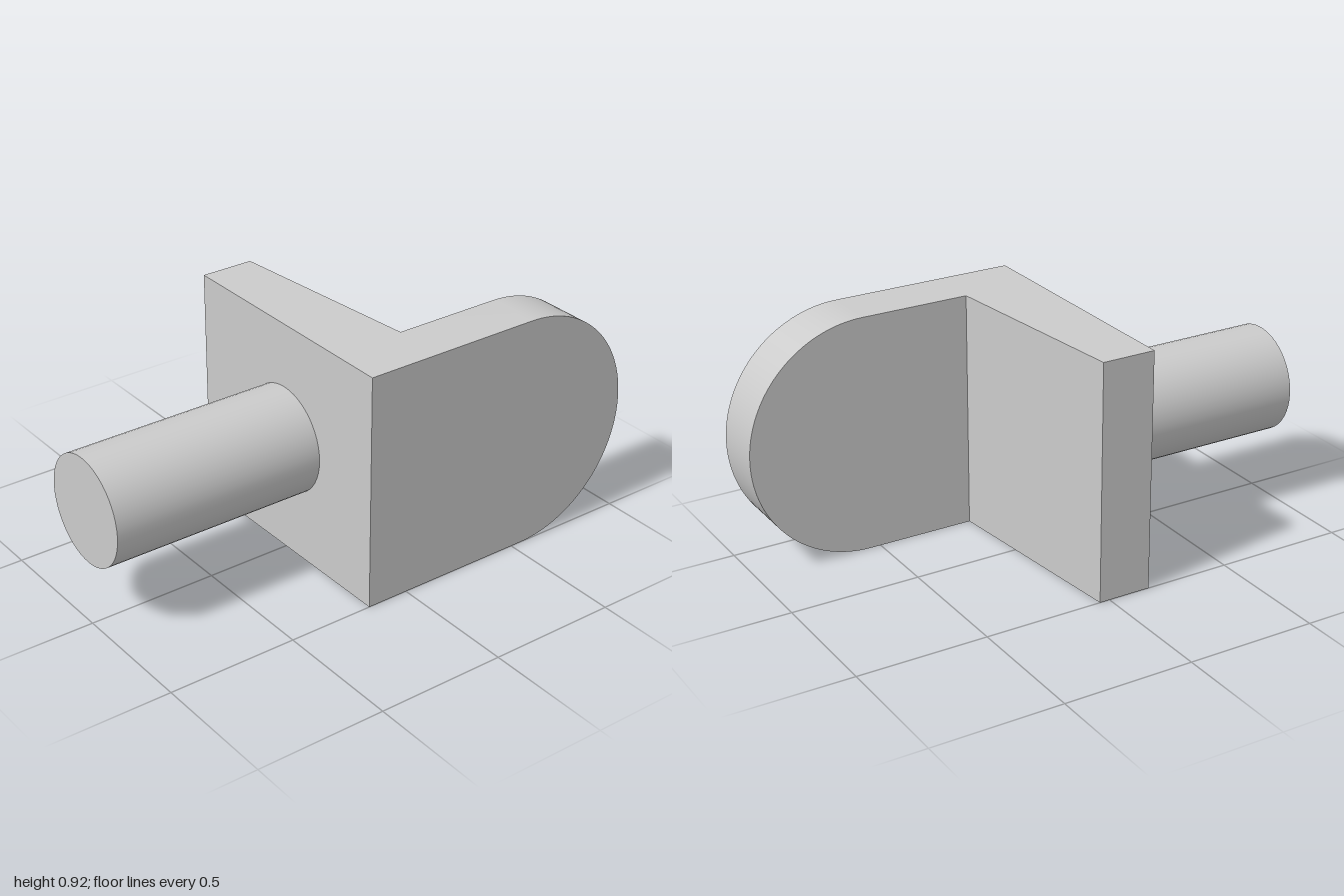
import * as THREE from 'three';
import { toCreasedNormals } from 'three/addons/utils/BufferGeometryUtils.js';

const H = 0.916;       // height of the bracket
const R = H / 2;       // radius of the rounded end
const BACK = -0.166;   // x of the mounting face
const INNER = 0.292;   // z where the flange meets the plate

export function createModel() {
  const group = new THREE.Group();
  const material = new THREE.MeshStandardMaterial({ color: 0xcccccc });
  const add = (name, geometry) => {
    const mesh = new THREE.Mesh(geometry, material);
    mesh.name = name;
    group.add(mesh);
    return mesh;
  };
  const extrude = (shape, depth) => toCreasedNormals(
    new THREE.ExtrudeGeometry(shape, { depth, bevelEnabled: false, curveSegments: 32 }), 0.5);

  // Front plate with a half-round end
  const plate = new THREE.Shape();
  plate.moveTo(BACK, 0);
  plate.lineTo(1 - R, 0);
  plate.absarc(1 - R, R, R, -Math.PI / 2, Math.PI / 2, false);
  plate.lineTo(BACK, H);
  plate.closePath();
  add('frontPlate', extrude(plate, 0.5 - INNER)).position.z = INNER;

  // Tapered flange, drawn in plan (x, -z) and extruded upwards
  const flange = new THREE.Shape([
    [BACK, -INNER], [0.12, -INNER], [0.04, 0.5], [BACK, 0.5],
  ].map(([x, y]) => new THREE.Vector2(x, y)));
  add('taperedFlange', extrude(flange, H).rotateX(-Math.PI / 2));

  // Round peg on the mounting face
  const length = BACK + 1;
  const peg = new THREE.CylinderGeometry(0.207, 0.207, length, 48).rotateZ(Math.PI / 2);
  add('peg', peg).position.set(-1 + length / 2, R + 0.002, 0);

  return group;
}
